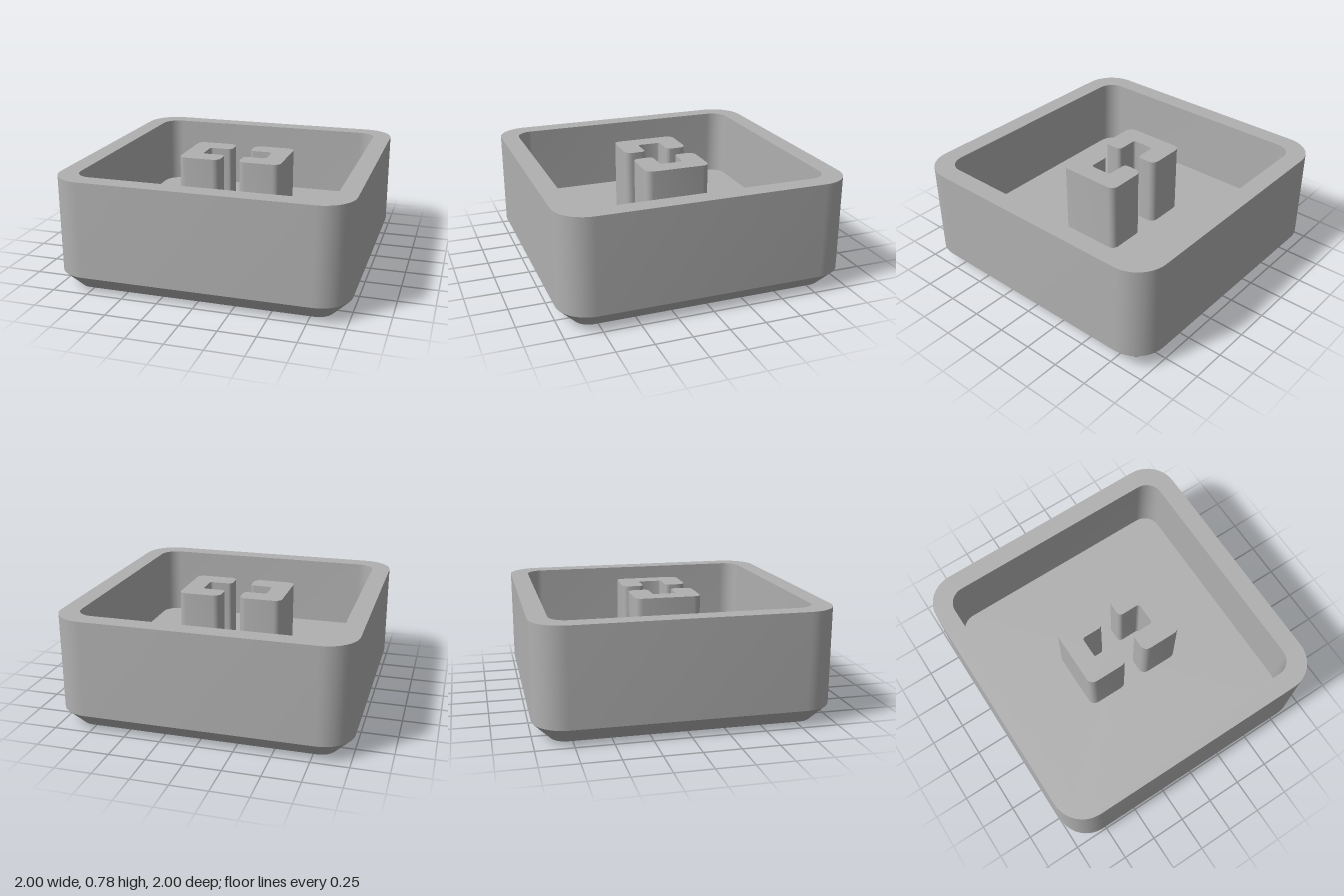
import * as THREE from 'three';
import { toCreasedNormals } from 'three/addons/utils/BufferGeometryUtils.js';

const TOP = 0.78, FLOOR = 0.28, CORNER_STEPS = 10;

// Rounded-square ring, counter-clockwise seen from above
function ring(half, radius, y) {
  const points = [];
  for (let q = 0; q < 4; q++) {
    const mid = Math.PI / 4 + q * Math.PI / 2;
    const cx = Math.sign(Math.cos(mid)) * (half - radius);
    const cz = -Math.sign(Math.sin(mid)) * (half - radius);
    for (let i = 0; i <= CORNER_STEPS; i++) {
      const a = (q + i / CORNER_STEPS) * Math.PI / 2;
      points.push([cx + radius * Math.cos(a), y, cz - radius * Math.sin(a)]);
    }
  }
  return points;
}

// Skin a list of rings; the first and last are collapsed to a centre point
function loft(rings) {
  const pos = [];
  for (let i = 0; i < rings.length - 1; i++) {
    const lo = rings[i], hi = rings[i + 1], n = lo.length;
    for (let j = 0; j < n; j++) {
      const k = (j + 1) % n;
      if (i > 0) pos.push(...lo[j], ...lo[k], ...hi[k]);
      if (i === 0) pos.push(...lo[j], ...hi[k], ...hi[j]);
      else if (i < rings.length - 2) pos.push(...lo[j], ...hi[k], ...hi[j]);
    }
  }
  const geo = new THREE.BufferGeometry();
  geo.setAttribute('position', new THREE.Float32BufferAttribute(pos, 3));
  return toCreasedNormals(geo, 0.5);
}

// Polygon with a rounded corner at each [x, y, radius]
function roundedShape(corners) {
  const shape = new THREE.Shape();
  corners.forEach(([x, y, r], i) => {
    const n = corners.length;
    const p = new THREE.Vector2(x, y);
    const toward = (c) => new THREE.Vector2(c[0], c[1]).sub(p).setLength(r).add(p);
    const a = toward(corners[(i + n - 1) % n]);
    const b = toward(corners[(i + 1) % n]);
    if (i === 0) shape.moveTo(a.x, a.y);
    else shape.lineTo(a.x, a.y);
    // Cubic approximation of a quarter circle
    const c1 = a.clone().lerp(p, 0.5523), c2 = b.clone().lerp(p, 0.5523);
    shape.bezierCurveTo(c1.x, c1.y, c2.x, c2.y, b.x, b.y);
  });
  shape.closePath();
  return shape;
}

export function createModel() {
  const model = new THREE.Group();
  model.name = 'upturnedCap';
  const grey = new THREE.MeshStandardMaterial({ color: 0xb0b0b0 });
  grey.name = 'grey';

  // Hollow shell: chamfered base, straight outer wall, flat rim, inner wall, floor
  const shell = new THREE.Mesh(loft([
    ring(0, 0, 0),
    ring(0.885, 0.11, 0),
    ring(1, 0.22, 0.115),
    ring(1, 0.22, TOP),
    ring(0.87, 0.12, TOP),
    ring(0.87, 0.12, FLOOR),
    ring(0, 0, FLOOR),
  ]), grey);
  shell.name = 'shell';
  model.add(shell);

  // Pair of C-shaped stem halves facing each other
  const bracket = roundedShape([
    [0.07, -0.232, 0.05], [0.37, -0.232, 0.05], [0.37, 0.232, 0.05], [0.07, 0.232, 0.05],
    [0.07, 0.083, 0.03], [0.235, 0.083, 0.02], [0.235, -0.083, 0.02], [0.07, -0.083, 0.03],
  ]);
  const stemGeo = toCreasedNormals(new THREE.ExtrudeGeometry(bracket, {
    depth: TOP - FLOOR + 0.01, bevelEnabled: false, curveSegments: 6,
  }).rotateX(-Math.PI / 2), 0.5);
  for (const side of ['left', 'right']) {
    const stem = new THREE.Mesh(stemGeo, grey);
    stem.name = side + 'Stem';
    stem.position.y = FLOOR - 0.01;
    stem.rotation.y = side === 'left' ? 0 : Math.PI;
    model.add(stem);
  }
  return model;
}
